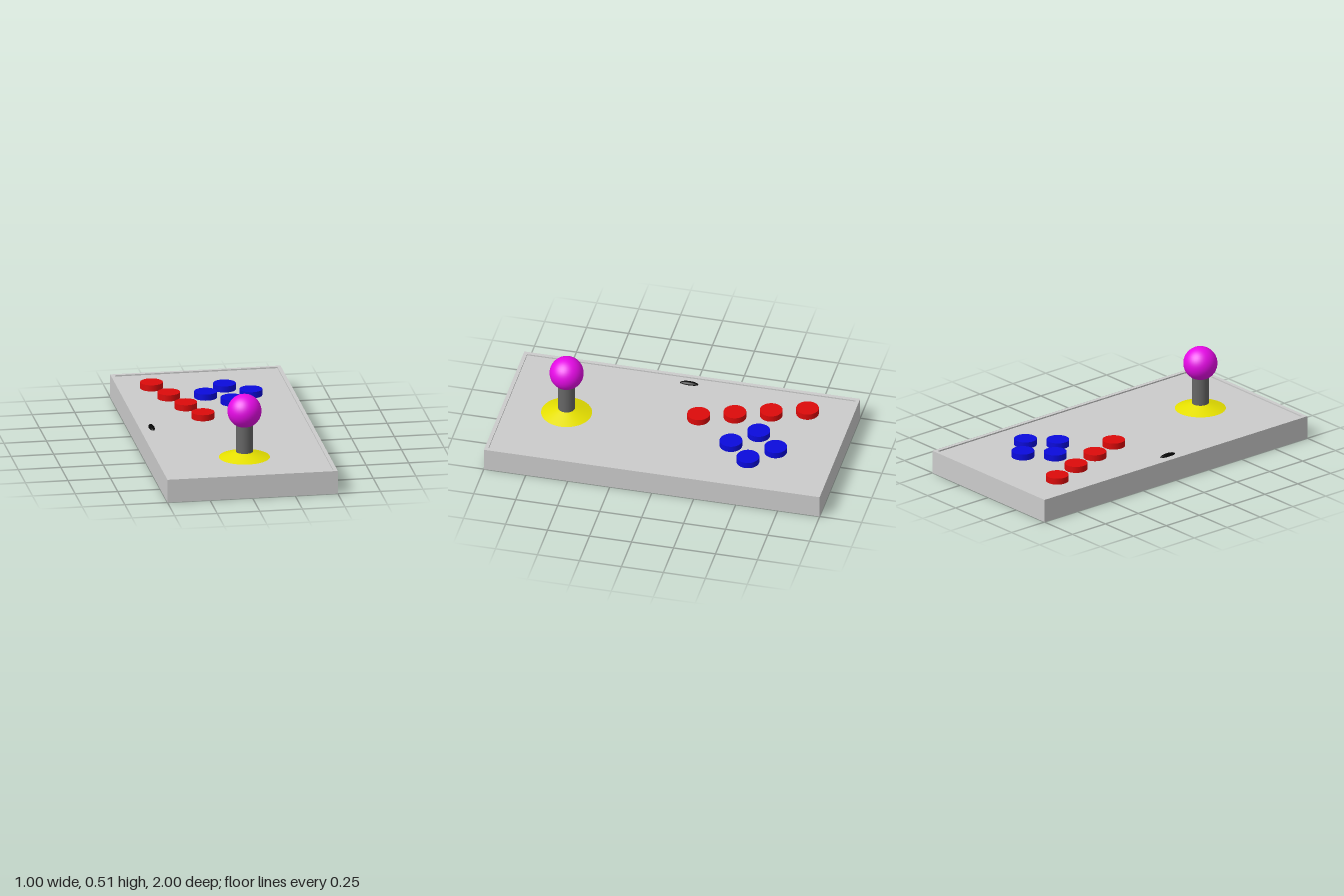
import * as THREE from 'three';

const PANEL_Y = 0.13; // recessed control surface
const RIM_Y = 0.138; // top of the raised rim

function add(parent, name, geometry, color, x = 0, y = 0, z = 0) {
  const mesh = new THREE.Mesh(geometry, new THREE.MeshStandardMaterial({ color }));
  mesh.name = name;
  mesh.position.set(x, y, z);
  parent.add(mesh);
  return mesh;
}

function rectangle(PathType, w, h) {
  return new PathType([[-w, -h], [w, -h], [w, h], [-w, h]].map(([x, y]) => new THREE.Vector2(x / 2, y / 2)));
}

export function createModel() {
  const model = new THREE.Group();
  model.name = 'arcadeController';

  // Case with a thin raised rim around the panel
  add(model, 'case', new THREE.BoxGeometry(1, PANEL_Y, 2), 0xcccccc, 0, PANEL_Y / 2, 0);
  const rim = rectangle(THREE.Shape, 1, 2);
  rim.holes.push(rectangle(THREE.Path, 0.956, 1.956));
  const rimGeometry = new THREE.ExtrudeGeometry(rim, { depth: RIM_Y - PANEL_Y, bevelEnabled: false });
  rimGeometry.rotateX(-Math.PI / 2);
  add(model, 'rim', rimGeometry, 0xcccccc, 0, PANEL_Y, 0);

  // Joystick: flared base, shaft and ball
  const joystick = new THREE.Group();
  joystick.name = 'joystick';
  joystick.position.set(0.015, PANEL_Y, 0.624);
  model.add(joystick);
  add(joystick, 'joystickBase', new THREE.CylinderGeometry(0.045, 0.148, 0.034, 48), 0xe6e000, 0, 0.017, 0);
  add(joystick, 'joystickShaft', new THREE.CylinderGeometry(0.049, 0.049, 0.22, 32), 0x666666, 0, 0.11, 0);
  add(joystick, 'joystickBall', new THREE.SphereGeometry(0.099, 40, 24), 0xe60ae6, 0, 0.28, 0);

  // Round push buttons
  const buttonGeometry = new THREE.CylinderGeometry(0.066, 0.066, 0.037, 40);
  const addButton = (name, color, x, z) => add(model, name, buttonGeometry, color, x, PANEL_Y + 0.0185, z);

  // Diagonal row of four red buttons
  for (let i = 0; i < 4; i++) addButton('redButton', 0xdd0a0a, -0.302 + i * 0.067, -0.734 + i * 0.2);

  // Diamond of four blue buttons
  for (let i = 0; i < 4; i++) {
    const a = i * Math.PI / 2;
    addButton('blueButton', 0x0a0add, 0.111 + 0.133 * Math.cos(a), -0.511 + 0.133 * Math.sin(a));
  }

  // Small black oval button at the edge
  const oval = add(model, 'ovalButton', new THREE.SphereGeometry(1, 32, 16), 0x050505, -0.425, PANEL_Y, 0);
  oval.scale.set(0.017, 0.015, 0.055);

  return model;
}
